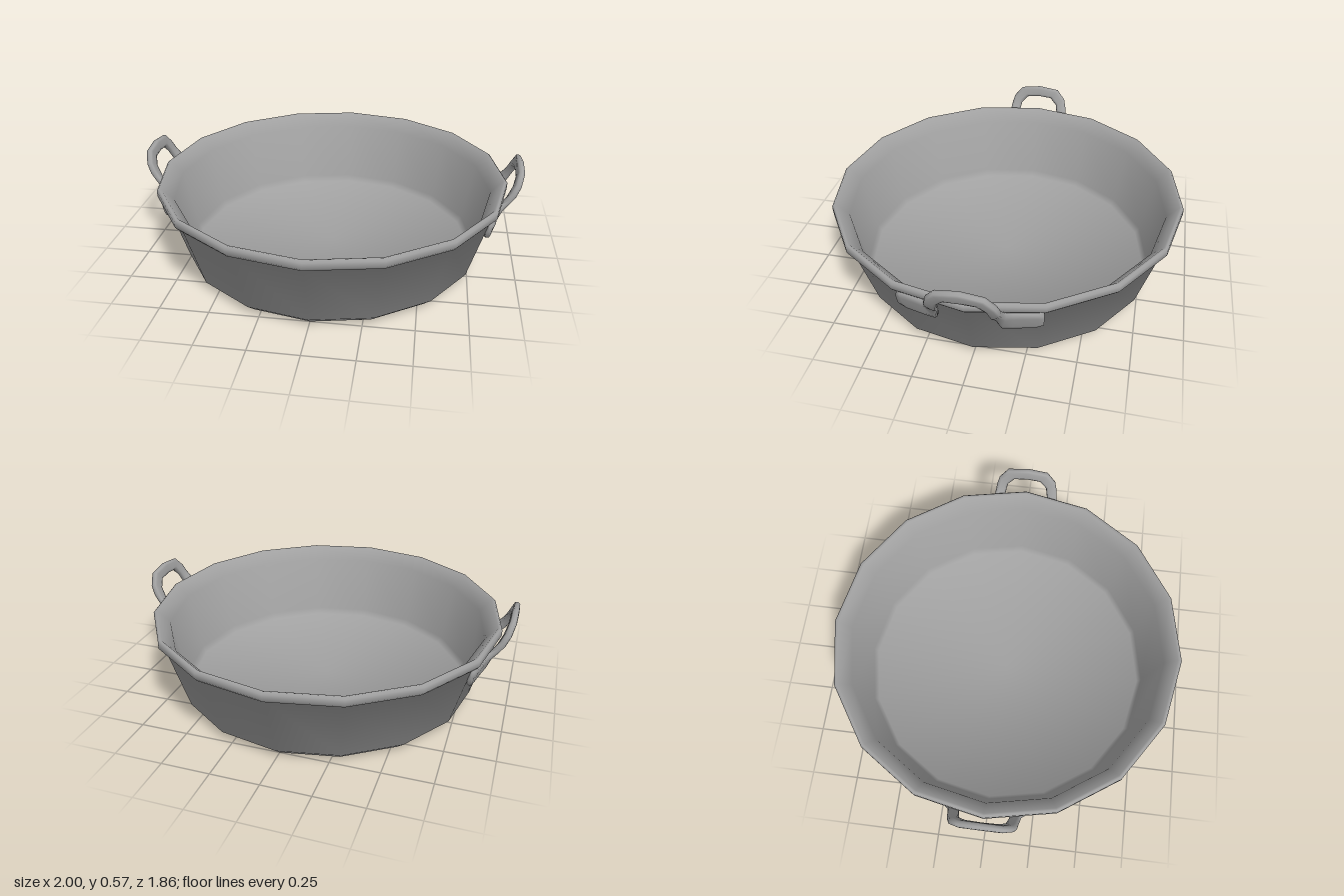
import * as THREE from 'three';
import { toCreasedNormals } from 'three/addons/utils/BufferGeometryUtils.js';

const material = new THREE.MeshStandardMaterial({ color: 0xa0a0a0 });
const V = (x, y, z) => new THREE.Vector3(x, y, z);

// Sixteen-sided pan: outer wall, rolled rim, flared inner wall and floor
function createPan() {
  const profile = [
    [0, 0], [0.75, 0], [0.8, 0.045], [0.9, 0.39],
    [0.92, 0.395], [0.932, 0.41], [0.932, 0.44], [0.922, 0.45], [0.91, 0.447],
    [0.85, 0.38], [0.785, 0.06], [0.765, 0.025], [0, 0.025],
  ].map(([r, y]) => new THREE.Vector2(r, y));
  const geometry = toCreasedNormals(new THREE.LatheGeometry(profile, 16), 1.3);
  const pan = new THREE.Mesh(geometry, material);
  pan.name = 'pan';
  return pan;
}

// Half of the handle as pairs of edge points: outer x, y, z then inner x, y, z
const HALF = [
  [0.836, 0.375, 0.346, 0.82, 0.295, 0.342],
  [0.848, 0.392, 0.325, 0.818, 0.271, 0.3],
  [0.87, 0.386, 0.21, 0.84, 0.268, 0.2],
  [0.893, 0.395, 0.182, 0.855, 0.275, 0.15],
  [0.935, 0.43, 0.177, 0.88, 0.35, 0.133],
  [0.954, 0.46, 0.172, 0.927, 0.4, 0.123],
  [0.973, 0.502, 0.16, 0.957, 0.465, 0.11],
  [0.987, 0.556, 0.114, 0.972, 0.503, 0.072],
  [0.988, 0.572, 0, 0.976, 0.508, 0],
];

// Strap swept through the edge pairs, with a rounded oval section
function createHandleGeometry() {
  const first = HALF.map(([a, b, c, d, e, f]) => [V(a, b, c), V(d, e, f)]);
  const second = HALF.slice(0, -1).reverse()
    .map(([a, b, c, d, e, f]) => [V(a, b, -c), V(d, e, -f)]);
  const pairs = [...first, ...second];
  const mids = pairs.map(([o, i]) => o.clone().add(i).multiplyScalar(0.5));
  const sides = 10, last = pairs.length - 1;
  const positions = [], index = [];

  pairs.forEach(([outer, inner], k) => {
    const across = outer.clone().sub(inner).multiplyScalar(0.5);
    const along = mids[Math.min(k + 1, last)].clone().sub(mids[Math.max(k - 1, 0)]);
    const thick = along.cross(across).normalize()
      .multiplyScalar(k === 0 || k === last ? 0.014 : 0.018);
    for (let j = 0; j < sides; j++) {
      const t = (j / sides) * Math.PI * 2, c = Math.cos(t), s = Math.sin(t);
      const p = mids[k].clone()
        .addScaledVector(across, Math.sign(c) * Math.abs(c) ** 0.6)
        .addScaledVector(thick, Math.sign(s) * Math.abs(s) ** 0.6);
      positions.push(p.x, p.y, p.z);
    }
  });
  for (let k = 0; k < last; k++) {
    for (let j = 0; j < sides; j++) {
      const a = k * sides + j, b = k * sides + ((j + 1) % sides);
      index.push(a, b, b + sides, a, b + sides, a + sides);
    }
  }
  // Caps on the two tab ends
  const start = positions.length / 3;
  positions.push(...mids[0].toArray(), ...mids[last].toArray());
  for (let j = 0; j < sides; j++) {
    const n = (j + 1) % sides, base = last * sides;
    index.push(start, n, j, start + 1, base + j, base + n);
  }
  const geometry = new THREE.BufferGeometry();
  geometry.setAttribute('position', new THREE.Float32BufferAttribute(positions, 3));
  geometry.setIndex(index);
  geometry.computeVertexNormals();
  return geometry;
}

export function createModel() {
  const model = new THREE.Group();
  model.name = 'roundPan';
  model.add(createPan());
  const handleGeometry = createHandleGeometry();
  [['leftHandle', 0], ['rightHandle', Math.PI]].forEach(([name, angle]) => {
    const handle = new THREE.Mesh(handleGeometry, material);
    handle.name = name;
    handle.rotation.y = angle;
    model.add(handle);
  });
  return model;
}
